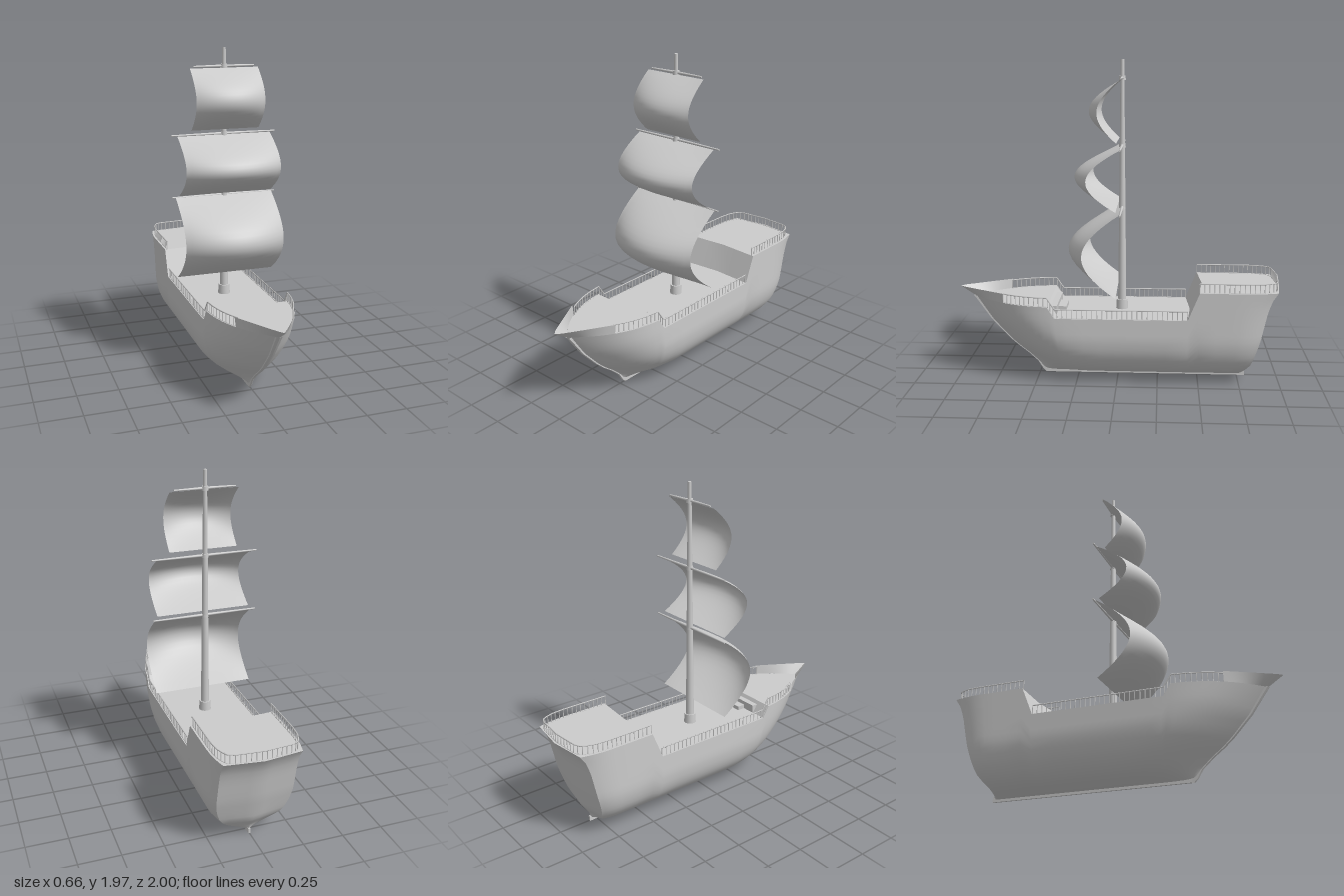
import * as THREE from 'three';
import { mergeGeometries, toCreasedNormals } from 'three/addons/utils/BufferGeometryUtils.js';

const material = new THREE.MeshStandardMaterial({ color: 0xcccccc, side: THREE.DoubleSide });
const lerp = THREE.MathUtils.lerp;

// Piecewise-linear lookup in [key, value] pairs with rising keys.
function lookup(table, k) {
  if (k <= table[0][0]) return table[0][1];
  for (let i = 1; i < table.length; i++) {
    const [k0, v0] = table[i - 1], [k1, v1] = table[i];
    if (k <= k1) return lerp(v0, v1, (k - k0) / (k1 - k0));
  }
  return table[table.length - 1][1];
}

// Surface through point(i, j) for i = 0..nu, j = 0..nv.
function grid(nu, nv, point, crease = 0.6) {
  const pos = [], index = [];
  for (let i = 0; i <= nu; i++) for (let j = 0; j <= nv; j++) pos.push(...point(i, j));
  for (let i = 0; i < nu; i++) for (let j = 0; j < nv; j++) {
    const a = i * (nv + 1) + j, b = a + nv + 1;
    index.push(a, b, b + 1, a, b + 1, a + 1);
  }
  const g = new THREE.BufferGeometry();
  g.setAttribute('position', new THREE.Float32BufferAttribute(pos, 3));
  g.setIndex(index);
  g.computeVertexNormals();
  return toCreasedNormals(g, crease);
}

// Hull lines: stem and stern z by height, half-breadth by height, deck height by z.
const STEM = [[0, 0.46], [0.02, 0.48], [0.07, 0.51], [0.13, 0.575], [0.18, 0.64], [0.23, 0.695], [0.35, 0.805], [0.5, 0.91]];
const STERN = [[0.015, -0.76], [0.05, -0.765], [0.13, -0.82], [0.3, -0.87], [0.48, -0.91], [0.55, -0.935], [0.58, -0.965], [0.6, -0.97]];
const BREADTH = [[0.015, 0.008], [0.03, 0.06], [0.06, 0.13], [0.1, 0.18], [0.15, 0.22], [0.2, 0.243], [0.25, 0.255], [0.3, 0.261], [0.6, 0.26]];
const SHEER = [[-0.5, 0.6], [-0.43, 0.43], [0.38, 0.43], [0.42, 0.5]];

// Point on the +x side of the hull at station z and height fraction v.
function hullPoint(station, v) {
  const y = lerp(0.015, lookup(SHEER, station), v ** 1.5);
  const stem = lookup(STEM, y), stern = lookup(STERN, y);
  let z = station;
  if (station > 0.3) z = lerp(0.3, stem, (station - 0.3) / 0.61);
  if (station < -0.6) z = lerp(-0.6, stern, (-0.6 - station) / 0.37);
  const entry = stem - lerp(0.05, 0.3, Math.min(y / 0.4, 1));
  const t = Math.min(1, Math.max(0, (stem - z) / entry));
  const tuck = 1 - 0.11 * Math.max(0, (-0.78 - station) / 0.19) ** 2;
  return [lookup(BREADTH, y) * (1 - (1 - t) ** 2.6) * tuck, y, z];
}

const STATIONS = [];
for (let i = 0; i <= 14; i++) STATIONS.push(0.91 - 0.49 * (i / 14) ** 1.4);
STATIONS.push(0.38, 0.3, 0.2, 0.1, 0, -0.15, -0.3, -0.43, -0.5, -0.6, -0.7, -0.78, -0.84, -0.9, -0.94, -0.97);

// Railing with evenly spaced posts; the path runs along the foot of the posts.
function railing(points, height, spacing) {
  const path = new THREE.CatmullRomCurve3(points.map(p => new THREE.Vector3(...p)), false, 'catmullrom', 0);
  const count = Math.round(path.getLength() / spacing);
  const parts = [
    new THREE.TubeGeometry(path, count * 3, 0.004, 5).translate(0, height, 0),
    new THREE.TubeGeometry(path, count * 3, 0.003, 5)
  ];
  for (const p of path.getSpacedPoints(count)) {
    parts.push(new THREE.CylinderGeometry(0.0028, 0.0028, height, 5).translate(p.x, p.y + height / 2, p.z));
  }
  return mergeGeometries(parts);
}

export function createModel() {
  const ship = new THREE.Group();
  ship.name = 'sailingShip';
  const add = (name, geometry, parent = ship) => {
    const mesh = new THREE.Mesh(geometry, material);
    mesh.name = name;
    parent.add(mesh);
    return mesh;
  };

  // Hull sides, mirrored
  const last = STATIONS.length - 1, rows = 18;
  const hull = new THREE.Group();
  hull.name = 'hull';
  ship.add(hull);
  add('leftHullSide', grid(last, rows, (i, j) => hullPoint(STATIONS[i], j / rows), 1), hull);
  add('rightHullSide', grid(last, rows, (i, j) => {
    const [x, y, z] = hullPoint(STATIONS[last - i], j / rows);
    return [-x, y, z];
  }, 1), hull);

  // Transom, slightly pointed aft along its middle
  add('transom', grid(8, rows, (i, j) => {
    const [x, y, z] = hullPoint(-0.97, j / rows), s = 1 - i / 4;
    return [x * s, y, z - 0.03 * (1 - Math.abs(s))];
  }, 0.5), hull);

  // Decks with the sloping bulkheads between them
  add('decks', grid(last, 4, (i, j) => {
    const st = STATIONS[i], [x, y, z] = hullPoint(st, 1), s = 1 - j / 2;
    const shift = st === -0.97 ? 0.03 : st === -0.43 || st === -0.5 ? 0.02 : 0;
    return [x * s, y, z - shift * (1 - Math.abs(s))];
  }, 0.3), hull);

  // Keel and stem post
  add('keel', new THREE.BoxGeometry(0.014, 0.03, 1.25).translate(0, 0.015, -0.175), hull);
  const stemRows = STEM.length - 1;
  for (const side of [1, -1]) {
    add('stemPost', grid(stemRows, 2, (i, j) => {
      const [y, z] = STEM[i], w = lerp(0.006, 0.018, y / 0.5);
      return [side * [w, w, 0][j], y, z + [-0.05, 0, 0.006][j]];
    }, 0.5), hull);
  }

  // Flared bulwark around the bow
  for (const side of [1, -1]) {
    add('bowBulwark', grid(12, 1, (i, j) => {
      const f = 1 - i / 12, [x, y, z] = hullPoint(lerp(0.7, 0.91, f), 1);
      return [side * (x + (i ? 0.008 * j : 0)), y + 0.06 * j, z + 0.09 * f * f * j];
    }), hull);
  }

  // Steps up to the foredeck
  add('foredeckStepUpper', new THREE.BoxGeometry(0.32, 0.05, 0.04).translate(0, 0.455, 0.39), hull);
  add('foredeckStepLower', new THREE.BoxGeometry(0.15, 0.025, 0.05).translate(0, 0.4425, 0.345), hull);

  // Railings
  const foot = (st, side, inset = 0.008) => {
    const [x, y, z] = hullPoint(st, 1);
    return [side * (x - inset), y, z];
  };
  for (const side of [1, -1]) {
    const stations = [0.7, 0.65, 0.6, 0.55, 0.5, 0.42, 0.38, 0.3, 0.2, 0, -0.2, -0.43];
    add('sideRailing', railing(stations.map(st => foot(st, side)), 0.055, 0.03));
  }
  const half = side => [
    ...[-0.5, -0.6, -0.7, -0.8, -0.88].map(st => foot(st, side, 0.014)),
    [side * 0.222, 0.6, -0.925], [side * 0.205, 0.6, -0.955], [side * 0.17, 0.6, -0.97]
  ];
  add('sternRailing', railing([...half(1), [0, 0.6, -0.985], ...half(-1).reverse()], 0.055, 0.03));

  // Mast
  const mastZ = -0.025;
  add('mast', new THREE.CylinderGeometry(0.011, 0.026, 1.54, 16).translate(0, 1.2, mastZ));
  add('mastFoot', new THREE.CylinderGeometry(0.034, 0.038, 0.06, 16).translate(0, 0.458, mastZ));

  // Yards and billowing sails: yard height, yard half-length, sail top, sail foot, half-width, depth
  const rig = [
    [1.075, 0.33, 1.075, 0.575, 0.31, 0.315],
    [1.455, 0.33, 1.45, 1.09, 0.295, 0.275],
    [1.86, 0.19, 1.85, 1.485, 0.213, 0.185]
  ];
  for (const [yardY, length, top, bottom, width, depth] of rig) {
    const yard = new THREE.Group();
    yard.name = 'yard';
    yard.position.set(0, yardY, mastZ);
    ship.add(yard);
    for (const side of [1, -1]) {
      add('yardArm', new THREE.CylinderGeometry(0.005, 0.009, length, 10)
        .rotateZ(-side * Math.PI / 2).translate(side * length / 2, 0, 0), yard);
    }
    add('yardCollar', new THREE.CylinderGeometry(0.019, 0.021, 0.024, 14), yard);
    add('sail', grid(20, 18, (i, j) => {
      const s = i / 10 - 1, v = j / 18;
      const bulge = Math.sin(Math.PI * v) ** 0.95 * depth * (1 - 0.33 * s * s);
      return [s * width, lerp(bottom, top, v), lerp(0.002, -0.018, v) + bulge];
    }, 1));
  }
  return ship;
}
